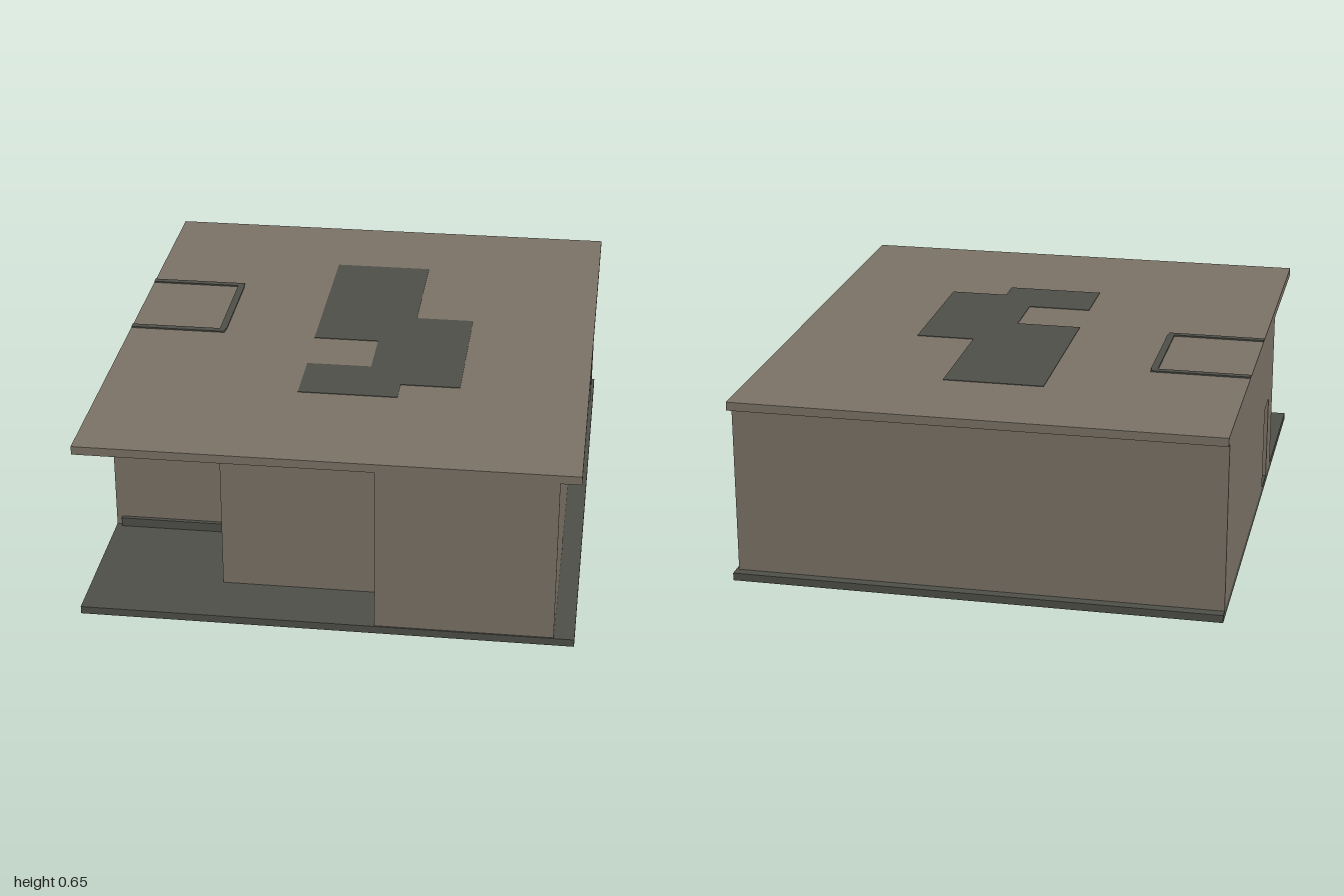
import * as THREE from 'three';

export function createModel() {
  const model = new THREE.Group();
  const beige = new THREE.MeshStandardMaterial({ color: 0x7d7468, side: THREE.DoubleSide });
  beige.name = 'warm grey plaster';
  const dark = new THREE.MeshStandardMaterial({ color: 0x50504a, side: THREE.DoubleSide });
  dark.name = 'dark stone';

  // Box given by its limits on each axis
  const box = (name, material, [x0, x1], [y0, y1], [z0, z1]) => {
    const mesh = new THREE.Mesh(new THREE.BoxGeometry(x1 - x0, y1 - y0, z1 - z0), material);
    mesh.position.set((x0 + x1) / 2, (y0 + y1) / 2, (z0 + z1) / 2);
    mesh.name = name;
    model.add(mesh);
    return mesh;
  };
  const floor = 0.027, ceiling = 0.62, top = 0.65;
  const wall = (name, x, z, y = [floor, ceiling]) => box(name, beige, x, y, z);

  // Floor slab and flat roof
  box('floorSlab', dark, [-0.85, 0.85], [0, floor], [-1, 1]);
  box('roof', beige, [-0.85, 0.85], [ceiling, top], [-0.99, 0.995]);

  // Stepped front around the open corner terrace
  wall('frontWall', [0.17, 0.78], [0.98, 0.995]);
  wall('frontReturnWall', [0.17, 0.185], [0.78, 0.98]);
  wall('entranceWall', [-0.39, 0.185], [0.765, 0.78]);
  wall('terraceSideWall', [-0.39, -0.375], [0.42, 0.765]);
  wall('terraceBackWall', [-0.835, -0.375], [0.405, 0.42]);
  box('terraceSill', dark, [-0.83, -0.39], [floor, 0.06], [0.395, 0.435]);

  // Right side with its fin and the gap at the back corner
  wall('rightWall', [0.765, 0.78], [-0.79, 0.98]);
  wall('rightFin', [0.765, 0.84], [-0.81, -0.79]);
  wall('passageWall', [0.3, 0.765], [-0.81, -0.795]);
  wall('passageEndWall', [0.285, 0.3], [-0.95, -0.795]);
  wall('backWall', [-0.85, 0.84], [-0.965, -0.95]);
  box('passageCabinet', beige, [0.4, 0.46], [floor, 0.135], [-0.85, -0.81]);
  box('passageCabinetTop', dark, [0.4, 0.46], [0.135, 0.143], [-0.85, -0.81]);
  box('sideStep', dark, [0.78, 0.81], [floor, 0.058], [-0.205, -0.155]);

  // Left wall with a low doorway
  const leftX = [-0.85, -0.835];
  wall('leftWallBack', leftX, [-0.95, 0.155]);
  wall('leftWallFront', leftX, [0.285, 0.42]);
  wall('doorLintel', leftX, [0.155, 0.285], [0.34, ceiling]);

  // Small pointed ornament on the right wall
  const point = new THREE.Shape();
  point.moveTo(-0.025, 0);
  point.lineTo(0.025, 0);
  point.quadraticCurveTo(0.02, 0.06, 0, 0.07);
  point.quadraticCurveTo(-0.02, 0.06, -0.025, 0);
  const ornament = new THREE.Mesh(new THREE.ShapeGeometry(point, 4), dark);
  ornament.name = 'wallOrnament';
  ornament.rotation.y = Math.PI / 2;
  ornament.position.set(0.782, floor, 0.4);
  model.add(ornament);

  // Stepped dark panel on the roof
  const outline = [[-0.165, -0.62], [0.19, -0.62], [0.19, -0.16], [0.4, -0.16], [0.4, 0.4], [0.19, 0.4],
    [0.19, 0.5], [-0.16, 0.5], [-0.16, 0.27], [0.07, 0.27], [0.07, 0.055], [-0.165, 0.055]];
  const panelShape = new THREE.Shape(outline.map(([x, z]) => new THREE.Vector2(x, -z)));
  const panel = new THREE.Mesh(
    new THREE.ExtrudeGeometry(panelShape, { depth: 0.002, bevelEnabled: false }), dark);
  panel.name = 'roofPanel';
  panel.rotation.x = -Math.PI / 2;
  panel.position.y = top;
  model.add(panel);

  // Three-sided trim around the square at the roof edge
  const trimY = [top, top + 0.005];
  for (const z of [-0.39, 0.025]) box('roofTrimBar', dark, [-0.85, -0.5], trimY, [z, z + 0.025]);
  box('roofTrimEnd', dark, [-0.522, -0.497], trimY, [-0.365, 0.025]);

  return model;
}
